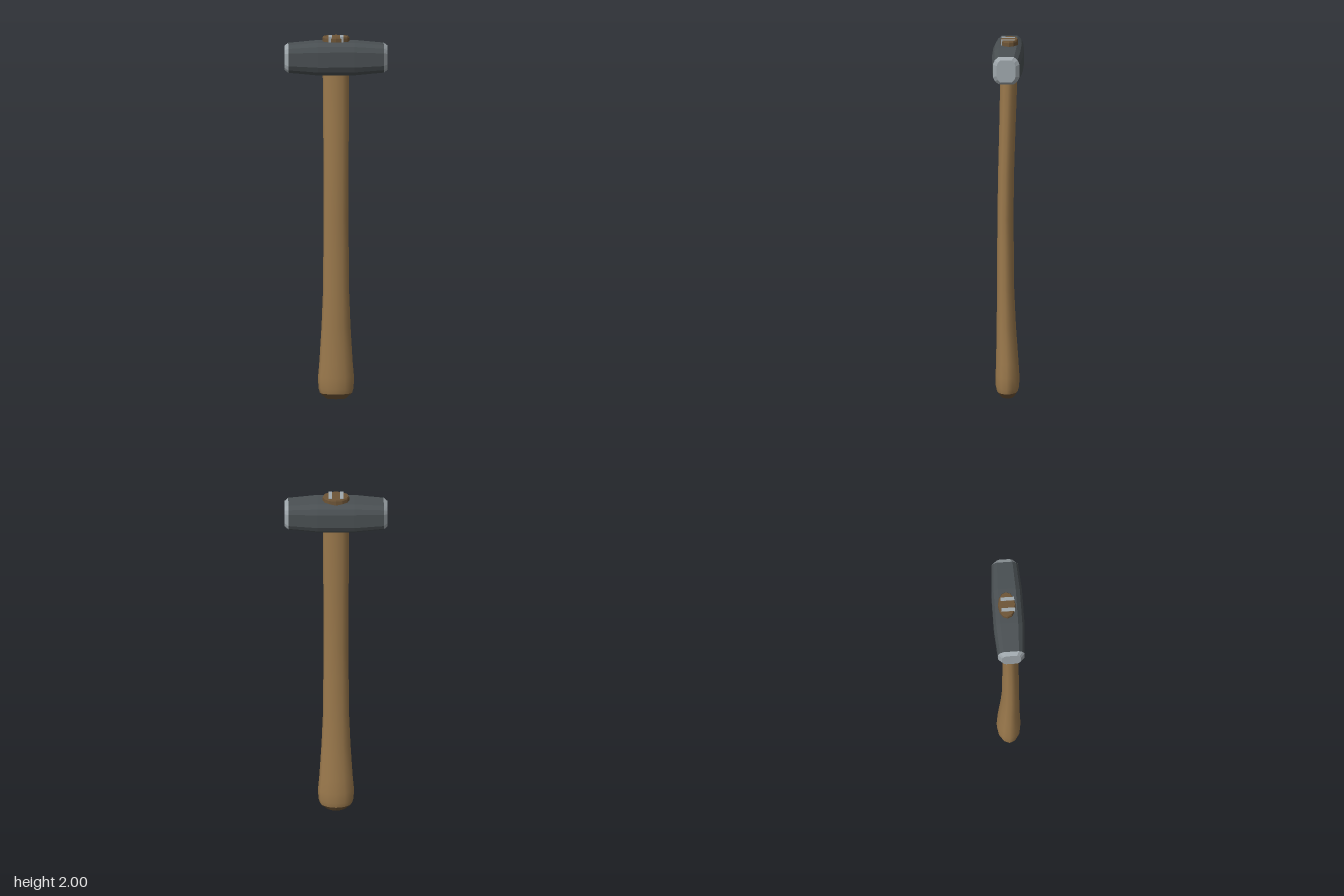
import * as THREE from 'three';

const material = (name, color) => {
  const m = new THREE.MeshStandardMaterial({ color });
  m.name = name;
  return m;
};

// Skin consecutive rings of [x, y, z]; flat gives hard facets.
function loft(rings, { flat = false, startCap = false, endCap = false } = {}) {
  const n = rings[0].length, index = [];
  for (let i = 0; i < rings.length - 1; i++) {
    for (let j = 0; j < n; j++) {
      const k = (j + 1) % n;
      const a = i * n + j, b = i * n + k, c = a + n, d = b + n;
      index.push(a, b, c, b, d, c);
    }
  }
  const last = (rings.length - 1) * n;
  for (let j = 1; j < n - 1; j++) {
    if (startCap) index.push(0, j + 1, j);
    if (endCap) index.push(last, last + j, last + j + 1);
  }
  let geometry = new THREE.BufferGeometry();
  geometry.setAttribute('position', new THREE.Float32BufferAttribute(rings.flat(2), 3));
  geometry.setIndex(index);
  if (flat) geometry = geometry.toNonIndexed();
  geometry.computeVertexNormals();
  return geometry;
}

// Oval handle section: height, half width, front z, back z.
function oval([y, rx, front, back], sides = 12) {
  return Array.from({ length: sides }, (_, i) => {
    const a = (i / sides) * Math.PI * 2;
    return [rx * Math.sin(a), y, (front + back) / 2 + ((front - back) / 2) * Math.cos(a)];
  });
}

// Head section: an upright rectangle with twice-chamfered corners.
const HEAD_Y = 1.88;
function headRing([x, ry, rz]) {
  const quarter = [[1, 0.58], [0.78, 0.85], [0.46, 1]]; // y, z fractions
  const corners = [
    ...quarter,
    ...quarter.map(([y, z]) => [-y, z]).reverse(),
    ...quarter.map(([y, z]) => [-y, -z]),
    ...quarter.map(([y, z]) => [y, -z]).reverse(),
  ];
  return corners.map(([y, z]) => [x, HEAD_Y + y * ry, z * rz]);
}

export function createModel() {
  const wood = material('wood', 0x9c7a4d);
  const endGrain = material('end grain', 0x6e5537);
  const iron = material('dark iron', 0x4a5053);
  const steel = material('bare steel', 0xa0a8ad);

  const group = new THREE.Group();
  group.name = 'sledgehammer';
  const add = (name, geometry, mat) => {
    const mesh = new THREE.Mesh(geometry, mat);
    mesh.name = name;
    group.add(mesh);
    return mesh;
  };

  // Gently curved handle
  const shaft = [
    [0.03, 0.088, 0.06, -0.053],
    [0.06, 0.096, 0.067, -0.061],
    [0.12, 0.098, 0.068, -0.062],
    [0.2, 0.091, 0.065, -0.057],
    [0.4, 0.079, 0.062, -0.043],
    [0.6, 0.071, 0.06, -0.034],
    [1.0, 0.068, 0.058, -0.03],
    [1.25, 0.068, 0.054, -0.033],
    [1.5, 0.07, 0.048, -0.041],
    [1.75, 0.072, 0.043, -0.05],
    [1.92, 0.073, 0.041, -0.055],
  ];
  add('handle', loft(shaft.map((s) => oval(s))), wood);

  // Darker butt and the tenon showing above the head
  const butt = [[0, 0.053, 0.037, -0.033], [0.03, 0.088, 0.06, -0.053]];
  add('handleButt', loft(butt.map((s) => oval(s)), { flat: true, startCap: true }), endGrain);
  const tenon = [
    [1.92, 0.073, 0.041, -0.055],
    [1.99, 0.073, 0.041, -0.055],
    [1.998, 0.069, 0.038, -0.052],
  ];
  add('handleTenon', loft(tenon.map((s) => oval(s)), { flat: true, endCap: true }), endGrain);

  // Pair of steel wedges set into the tenon
  for (const side of [-1, 1]) {
    const wedge = add('wedge', new THREE.BoxGeometry(0.02, 0.06, 0.074), steel);
    wedge.position.set(side * 0.031, 1.97, -0.001);
  }

  // Tapered head
  const head = [
    [-0.26, 0.076, 0.073], [-0.2, 0.081, 0.077], [-0.1, 0.09, 0.084],
    [0.1, 0.09, 0.084], [0.2, 0.081, 0.077], [0.26, 0.076, 0.073],
  ];
  add('head', loft(head.map(headRing), { flat: true }), iron);

  // Bevelled striking faces
  const face = [[0.26, 0.076, 0.073], [0.281, 0.062, 0.052]].map(headRing);
  add('leftStrikingFace', loft(face, { flat: true, endCap: true }), steel);
  const mirrored = face.map((ring) => ring.map(([x, y, z]) => [-x, y, z])).reverse();
  add('rightStrikingFace', loft(mirrored, { flat: true, startCap: true }), steel);

  return group;
}
